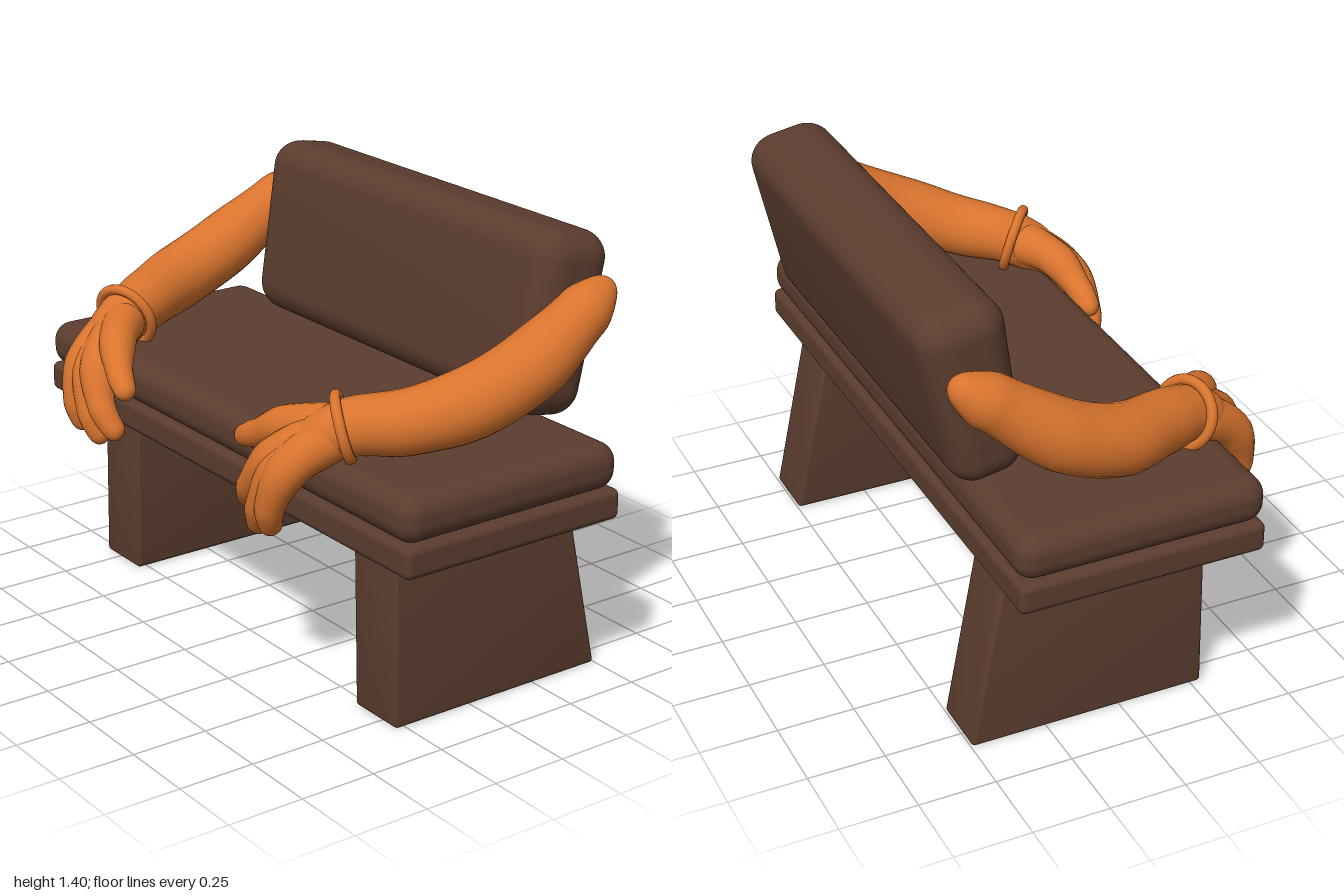
import * as THREE from 'three';
import { RoundedBoxGeometry } from 'three/addons/geometries/RoundedBoxGeometry.js';
import { mergeVertices, toCreasedNormals } from 'three/addons/utils/BufferGeometryUtils.js';

const V = (x, y, z) => new THREE.Vector3(x, y, z);

// Smooth limb through the points, with a radius at each and rounded ends
function limb(points, radii, rings = 36, sides = 20) {
  const curve = new THREE.CatmullRomCurve3(points);
  const length = curve.getLength();
  const geo = new THREE.TubeGeometry(curve, rings, 1, sides);
  const pos = geo.attributes.position;
  const v = V(0, 0, 0);
  const last = points.length - 1;
  for (let i = 0; i <= rings; i++) {
    // rings crowd towards the ends so that the tips come out round
    const u = (1 - Math.cos(Math.PI * i / rings)) / 2;
    const t = curve.getUtoTmapping(u) * last;
    const k = Math.min(Math.floor(t), last - 1);
    let r = THREE.MathUtils.lerp(radii[k], radii[k + 1], THREE.MathUtils.smoothstep(t - k, 0, 1));
    const d = Math.min(u, 1 - u) * length;
    if (d < r) r = Math.sqrt(Math.max(0, r * r - (r - d) * (r - d)));
    r = Math.max(r, 0.0005);
    const oldCentre = curve.getPointAt(i / rings);
    const centre = curve.getPointAt(u);
    for (let j = 0; j <= sides; j++) {
      const n = i * (sides + 1) + j;
      v.fromBufferAttribute(pos, n).sub(oldCentre).multiplyScalar(r).add(centre);
      pos.setXYZ(n, v.x, v.y, v.z);
    }
  }
  geo.deleteAttribute('uv');
  geo.deleteAttribute('normal');
  const smooth = mergeVertices(geo, 1e-5);
  smooth.computeVertexNormals();
  return smooth;
}

// Digit from the wrist to its tip, arched up and forwards over the knuckle
function digit(wrist, tip, arch, thickness) {
  const knuckle = wrist.clone().lerp(tip, 0.42).add(V(0, 0.03, arch));
  const joint = wrist.clone().lerp(tip, 0.75).add(V(0, 0.01, arch * 0.8));
  return limb([wrist, knuckle, joint, tip], [0.08, 0.064, 0.046, 0.035].map((r) => r * thickness));
}

// Move every vertex by a rule
function reshape(geo, rule) {
  const pos = geo.attributes.position;
  const v = V(0, 0, 0);
  for (let i = 0; i < pos.count; i++) {
    rule(v.fromBufferAttribute(pos, i));
    pos.setXYZ(i, v.x, v.y, v.z);
  }
  return toCreasedNormals(geo, 0.6);
}

export function createModel() {
  const model = new THREE.Group();
  model.name = 'benchWithArms';
  const brown = new THREE.MeshStandardMaterial({ color: 0x5c3d2f });
  brown.name = 'brown';
  const orange = new THREE.MeshStandardMaterial({ color: 0xd9742e });
  orange.name = 'orange';

  const add = (parent, name, geo, mat, x = 0, y = 0, z = 0) => {
    const mesh = new THREE.Mesh(geo, mat);
    mesh.name = name;
    mesh.position.set(x, y, z);
    parent.add(mesh);
    return mesh;
  };

  // Seat: board with a softer cushion above
  add(model, 'seatBoard', new RoundedBoxGeometry(2, 0.098, 0.805, 4, 0.022), brown, 0, 0.617, -0.018);
  add(model, 'seatCushion', new RoundedBoxGeometry(2, 0.148, 0.81, 6, 0.062), brown, 0, 0.738, -0.015);

  // Legs: slabs whose back edge slopes out towards the floor
  for (const side of [-1, 1]) {
    const geo = reshape(new RoundedBoxGeometry(0.205, 0.58, 0.785, 3, 0.014), (v) => {
      const h = v.y / 0.58 + 0.5;
      if (v.z < 0) v.z += 0.115 * h;
      v.x -= side * 0.016 * h;
    });
    add(model, side < 0 ? 'rightLeg' : 'leftLeg', geo, brown, side * 0.725, 0.29, -0.107);
  }

  // Backrest: leaning pad, thicker at the top
  const pad = reshape(new RoundedBoxGeometry(1.47, 0.58, 0.26, 6, 0.09), (v) => {
    v.z *= 1 + 0.2 * (v.y / 0.58);
  });
  add(model, 'backrest', pad, brown, 0.038, 1.11, -0.4).rotation.x = -0.18;

  // Arm from shoulder to palm, with a wristband, three fingers and a thumb
  const addArm = (name, path, fingertips, thumbTip) => {
    const group = new THREE.Group();
    group.name = name;
    model.add(group);
    const [beforeWrist, wrist, palm] = path.slice(-3);
    add(group, 'arm', limb(path, [0.047, 0.087, 0.109, 0.11, 0.1, 0.089, 0.08], 56, 24), orange);
    fingertips.forEach((tip, i) => add(group, 'finger' + (i + 1), digit(wrist, tip, 0.09, 1), orange));
    add(group, 'thumb', digit(wrist, thumbTip, 0.035, 0.95), orange);
    const band = add(group, 'wristband', new THREE.TorusGeometry(0.101, 0.017, 10, 40), orange, ...wrist);
    band.quaternion.setFromUnitVectors(V(0, 0, 1), palm.clone().sub(beforeWrist).normalize());
  };
  addArm('leftArm',
    [V(0.815, 1.255, -0.51), V(0.825, 1.175, -0.39), V(0.835, 1.06, -0.2), V(0.795, 0.968, 0),
      V(0.7, 0.915, 0.17), V(0.585, 0.893, 0.305), V(0.51, 0.83, 0.42)],
    [V(0.455, 0.56, 0.475), V(0.375, 0.54, 0.465), V(0.275, 0.595, 0.435)],
    V(0.195, 0.77, 0.41));
  addArm('rightArm',
    [V(-0.765, 1.245, -0.53), V(-0.78, 1.165, -0.41), V(-0.815, 1.02, -0.2), V(-0.795, 0.945, 0),
      V(-0.725, 0.92, 0.16), V(-0.675, 0.897, 0.275), V(-0.63, 0.83, 0.41)],
    [V(-0.62, 0.555, 0.475), V(-0.505, 0.54, 0.475), V(-0.405, 0.585, 0.475)],
    V(-0.33, 0.75, 0.485));
  return model;
}
